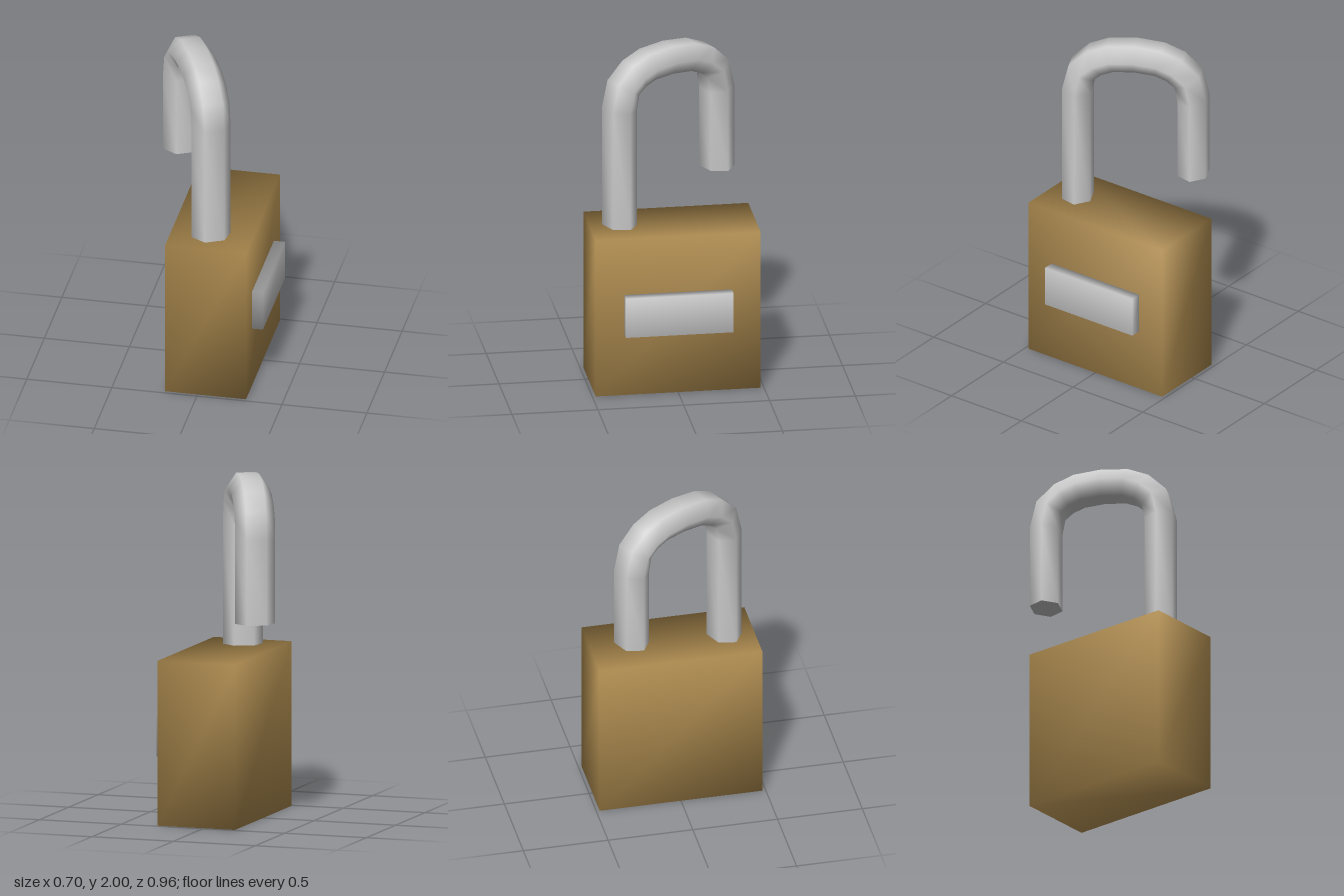
import * as THREE from 'three';
import { mergeVertices } from 'three/addons/utils/BufferGeometryUtils.js';

const brass = new THREE.MeshStandardMaterial({ color: 0xb08d50 });
const steel = new THREE.MeshStandardMaterial({ color: 0xcccccc });

// Box between two corners, with normals blended across its edges
function softBox(name, material, [x0, y0, z0], [x1, y1, z1]) {
  let geometry = new THREE.BoxGeometry(x1 - x0, y1 - y0, z1 - z0);
  geometry.deleteAttribute('normal');
  geometry.deleteAttribute('uv');
  geometry = mergeVertices(geometry);
  geometry.computeVertexNormals();
  const mesh = new THREE.Mesh(geometry, material);
  mesh.name = name;
  mesh.position.set((x0 + x1) / 2, (y0 + y1) / 2, (z0 + z1) / 2);
  return mesh;
}

// Sweep a slightly flattened hexagon along a path in the local yz plane
const SIDES = 6, RX = 0.116, RN = 0.096;
function sweep(path) {
  const positions = [], index = [];
  path.forEach((p, i) => {
    const before = p.clone().sub(path[Math.max(i - 1, 0)]).normalize();
    const after = path[Math.min(i + 1, path.length - 1)].clone().sub(p).normalize();
    const t = before.add(after).normalize();
    for (let j = 0; j < SIDES; j++) {
      const a = (j / SIDES) * Math.PI * 2;
      const n = RN * Math.sin(a);
      positions.push(RX * Math.cos(a), p.y + n * -t.x, p.x + n * t.y);
      if (i < path.length - 1) {
        const k = (j + 1) % SIDES, r = i * SIDES, s = r + SIDES;
        index.push(r + j, s + j, s + k, r + j, s + k, r + k);
      }
    }
  });
  const geometry = new THREE.BufferGeometry();
  geometry.setAttribute('position', new THREE.Float32BufferAttribute(positions, 3));
  geometry.setIndex(index);
  geometry.computeVertexNormals();
  return geometry;
}

export function createModel() {
  const model = new THREE.Group();
  model.name = 'openPadlock';

  // Brass body and the plate on its side
  model.add(softBox('body', brass, [-0.19, 0, -0.48], [0.285, 0.96, 0.48]));
  model.add(softBox('sidePlate', steel, [0.28, 0.375, -0.313], [0.35, 0.615, 0.313]));

  // Shackle centreline as (z, y): one half of the arch, mirrored, plus the leg ends
  const half = [[0.339, 1.67], [0.311, 1.797], [0.236, 1.866], [0.142, 1.904]];
  const points = [
    [0.339, 0.92], ...half, [0, 1.917],
    ...half.map(([z, y]) => [-z, y]).reverse(), [-0.339, 1.18],
  ].map(([z, y]) => new THREE.Vector2(z, y));

  // Shackle swung open about its long leg
  const shackle = new THREE.Group();
  shackle.name = 'shackle';
  shackle.position.x = -0.1035;
  shackle.rotation.y = 0.448;

  const bar = new THREE.Mesh(sweep(points), steel);
  bar.name = 'shackleBar';
  shackle.add(bar);

  // Flat end of the free short leg
  const cap = new THREE.Mesh(
    new THREE.CircleGeometry(1, SIDES).scale(RX, RN, 1).rotateX(Math.PI / 2), steel);
  cap.name = 'shackleEnd';
  cap.position.set(0, 1.18, -0.339);
  shackle.add(cap);

  model.add(shackle);
  return model;
}
